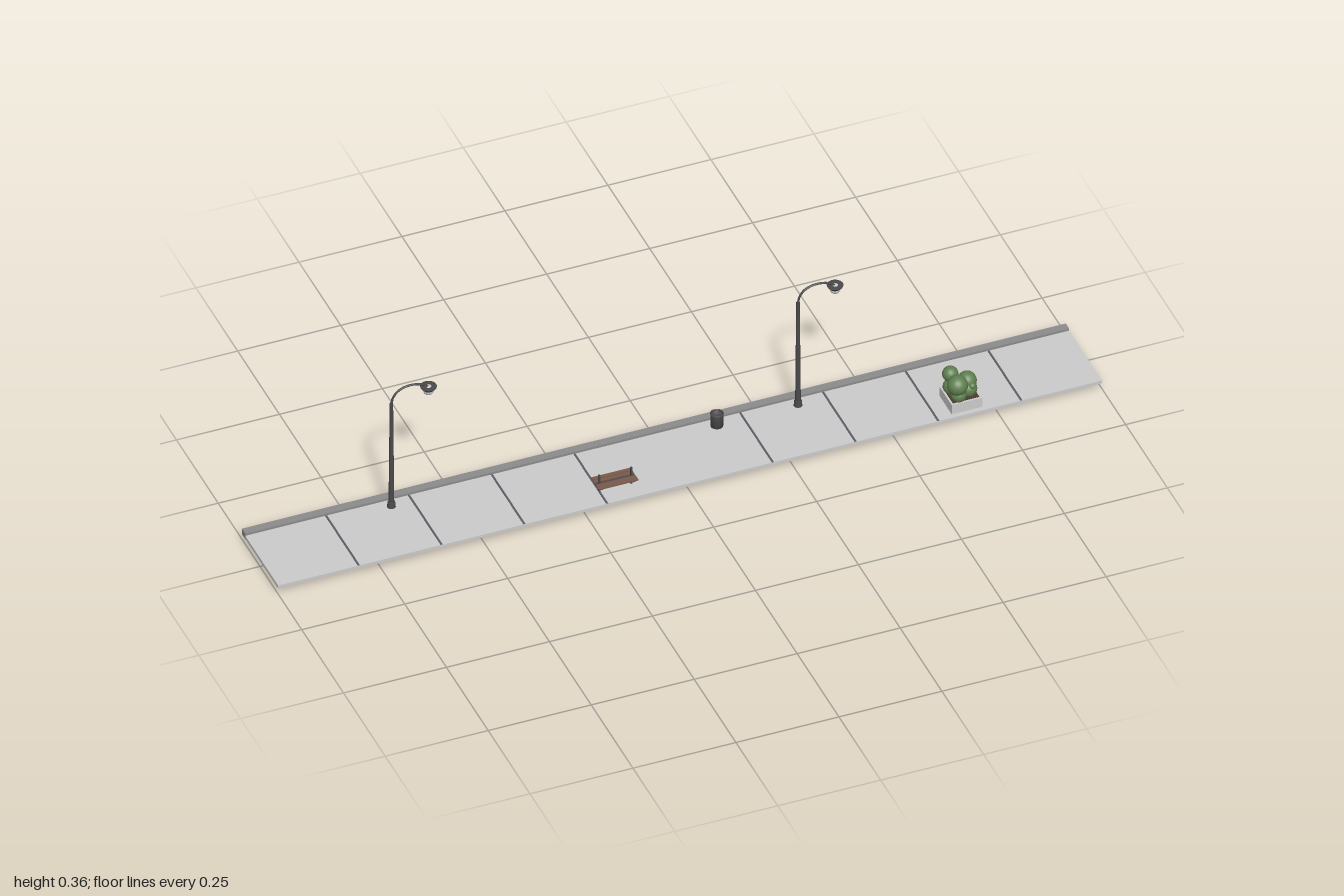
import * as THREE from 'three';

const mat = (color, side = THREE.FrontSide) => new THREE.MeshStandardMaterial({ color, side });
const paving = mat(0xcccccc), stone = mat(0x8c8c8c), joint = mat(0x5c5c66);
const metal = mat(0x4a4a4c), metalOpen = mat(0x4a4a4c, THREE.DoubleSide);
const glass = mat(0xcccccc), wood = mat(0x7a5a4c), leaf = mat(0x5f8050), soil = mat(0x4a3c30);

function add(parent, name, geometry, material, x = 0, y = 0, z = 0) {
  const mesh = new THREE.Mesh(geometry, material);
  mesh.name = name;
  mesh.position.set(x, y, z);
  parent.add(mesh);
  return mesh;
}
const box = (w, h, d) => new THREE.BoxGeometry(w, h, d);
const lathe = (pts, n = 32) => new THREE.LatheGeometry(pts.map(p => new THREE.Vector2(...p)), n);

function group(parent, name, x, y, z) {
  const g = new THREE.Group();
  g.name = name;
  g.position.set(x, y, z);
  parent.add(g);
  return g;
}

// Street lamp: footing, tapered pole, curved arm, dish shade and globe
function streetLamp(parent, x) {
  const g = group(parent, 'streetLamp', x, 0, -0.064);
  add(g, 'lampBase', new THREE.CylinderGeometry(0.0085, 0.0125, 0.038, 24), metal, 0, 0.019, 0);
  add(g, 'lampPole', new THREE.CylinderGeometry(0.004, 0.0065, 0.285, 20), metal, 0, 0.1755, 0);
  const curve = new THREE.CatmullRomCurve3([
    [0, 0.31], [0.003, 0.33], [0.014, 0.346], [0.033, 0.355], [0.052, 0.356], [0.073, 0.351], [0.09, 0.34],
  ].map(([a, b]) => new THREE.Vector3(a, b, 0)));
  add(g, 'lampArm', new THREE.TubeGeometry(curve, 32, 0.0027, 10), metal);
  add(g, 'lampShade', lathe([[0, 0.341], [0.019, 0.341], [0.0185, 0.339], [0.0115, 0.331]]), metalOpen, 0.09, 0, 0);
  add(g, 'lampGlobe', new THREE.SphereGeometry(0.0125, 24, 16), glass, 0.09, 0.3305, 0);
}

// Bench: two end posts with a rail and a seat of slats
function bench(parent) {
  const g = group(parent, 'bench', -0.162, 0, 0.056);
  for (const s of [-1, 1]) {
    add(g, 'benchPost', box(0.004, 0.058, 0.004), metal, s * 0.039, 0.041, 0.004);
    add(g, 'benchBracket', box(0.004, 0.003, 0.046), metal, s * 0.039, 0.0425, 0);
  }
  add(g, 'benchRail', box(0.096, 0.003, 0.005), metal, 0, 0.044, 0.002);
  for (const z of [-0.018, -0.006, 0.011, 0.02])
    add(g, 'benchSlat', box(0.096, 0.003, 0.0095), wood, 0, 0.0455, z);
}

// Litter bin: hollow drum with a rim
function litterBin(parent) {
  const g = group(parent, 'litterBin', 0.135, 0.022, -0.064);
  add(g, 'binBody', lathe([[0, 0], [0.0145, 0], [0.0145, 0.036], [0.012, 0.036], [0.012, 0.03], [0, 0.03]]), metalOpen);
  const rim = add(g, 'binRim', new THREE.TorusGeometry(0.0142, 0.0015, 8, 32), metal, 0, 0.0365, 0);
  rim.rotation.x = Math.PI / 2;
}

// Planter: stone box, soil and a clump of round foliage
function planter(parent) {
  const g = group(parent, 'planter', 0.677, 0, 0.06);
  add(g, 'planterBox', box(0.074, 0.027, 0.074), paving, 0, 0.0365, 0);
  add(g, 'planterSoil', box(0.064, 0.001, 0.064), soil, 0, 0.0503, 0);
  const clumps = [
    [-0.016, 0.088, 0.019, 0.024], [-0.016, 0.09, -0.024, 0.0185], [0.016, 0.078, -0.002, 0.022],
    [0.015, 0.062, 0.006, 0.021], [0.012, 0.06, -0.018, 0.016], [-0.014, 0.062, 0.021, 0.018],
    [-0.018, 0.062, -0.014, 0.019], [0.02, 0.076, 0.019, 0.008],
  ];
  for (const [x, y, z, r] of clumps)
    add(g, 'foliage', new THREE.SphereGeometry(r, 24, 16), leaf, x, y, z);
}

export function createModel() {
  const model = new THREE.Group();
  model.name = 'pavement';

  // Paving strip with joints, and the kerb along the back
  add(model, 'pavingSlab', box(2, 0.008, 0.199), paving, 0, 0.02, 0.0095);
  for (let i = -4; i <= 4; i++)
    if (i) add(model, 'pavingJoint', box(0.005, 0.0006, 0.196), joint, i * 0.201, 0.0241, 0.0105);
  add(model, 'kerb', box(2, 0.016, 0.02), stone, 0, 0.022, -0.098);

  for (const x of [-0.655, 0.332]) streetLamp(model, x);
  bench(model);
  litterBin(model);
  planter(model);
  return model;
}
